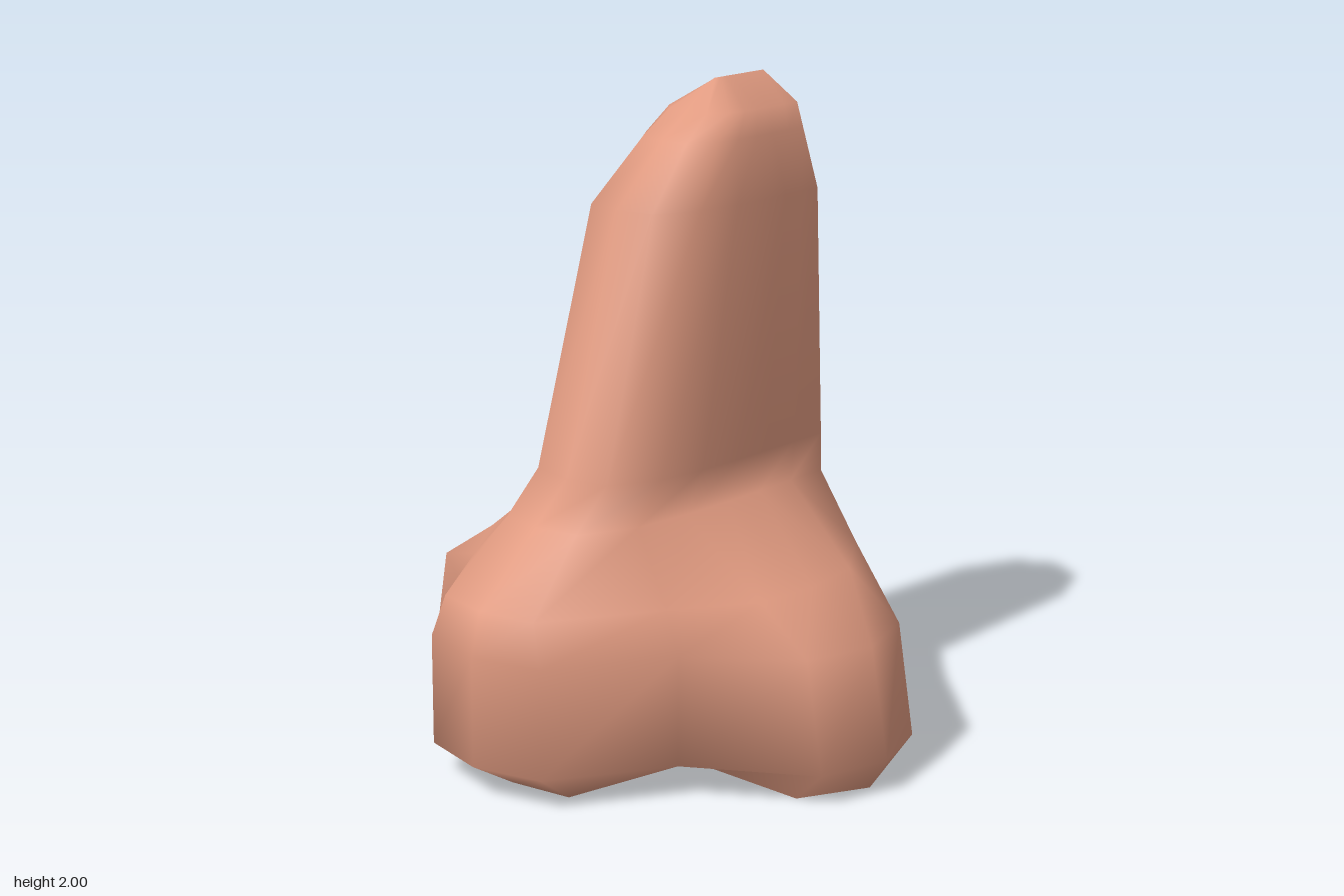
import * as THREE from 'three';

// Half outlines as [x, z], from the front centre round the nostril wing to the back wall
const foot = [[0, .48], [.2, .45], [.22, 0], [.7, .01], [.81, -.2], [.66, -.4], [.37, -.61], [.19, -.65]];
const wing = [[0, .645], [.22, .59], [.44, .24], [.8, .02], [.87, -.2], [.8, -.42], [.51, -.645], [.22, -.65]];
const shoulder = [[0, .61], [.18, .57], [.39, .24], [.55, 0], [.58, -.2], [.55, -.42], [.4, -.645], [.255, -.65]];

// Upper wing: the wing outline drawn in at the sides
const upperWing = wing.map(([x, z], i) => [i === 7 ? .25 : i > 2 ? x * .925 : x, z]);

// Bridge: rounds from its front to full width, then runs straight to the back wall
const roundX = [0, .55, .88, .97, 1];
const roundZ = [0, .05, .35, .68, 1];
function bridge(front, width, full) {
  const half = roundX.map((x, i) => [x * width, THREE.MathUtils.lerp(front, full, roundZ[i])]);
  for (let i = 1; i <= 3; i++) half.push([width, THREE.MathUtils.lerp(full, -.65, i / 3)]);
  return half;
}

const levels = [
  { y: 0, half: foot },
  { y: .1, half: wing },
  { y: .44, half: upperWing },
  { y: .57, half: shoulder },
  { y: .77, half: bridge(.375, .255, -.2) },
  { y: .89, half: bridge(.24, .252, -.25) },
  { y: 1.66, half: bridge(.02, .22, -.42) },
  { y: 1.84, half: bridge(-.18, .16, -.43) },
  { y: 1.915, half: bridge(-.29, .135, -.46) },
  { y: 2, half: bridge(-.42, 0, -.5) },
];

// Mirror a half outline into a full one, running from -x round the front to +x
const mirror = half => [...half.slice(1).reverse().map(([x, z]) => [-x, z]), ...half];

// Smooth skin lofted through the outlines
function loft() {
  const positions = [], index = [];
  const n = foot.length * 2 - 1;
  levels.forEach(({ y, half }, r) => {
    mirror(half).forEach(([x, z], i) => {
      positions.push(x, y, z);
      if (r === levels.length - 1 || i === n - 1) return;
      const a = r * n + i, b = a + 1, c = a + n, d = c + 1;
      index.push(a, b, d, a, d, c);
    });
  });
  const geometry = new THREE.BufferGeometry();
  geometry.setAttribute('position', new THREE.Float32BufferAttribute(positions, 3));
  geometry.setIndex(index);
  geometry.computeVertexNormals();
  return geometry;
}

const flatShape = points => new THREE.ShapeGeometry(new THREE.Shape(points.map(([x, y]) => new THREE.Vector2(x, y))));

export function createModel() {
  const group = new THREE.Group();
  group.name = 'nose';
  const material = new THREE.MeshStandardMaterial({ color: 0xe09a80 });
  const add = (name, geometry) => {
    const mesh = new THREE.Mesh(geometry, material);
    mesh.name = name;
    group.add(mesh);
  };

  // Bridge, tip and nostril wings
  add('noseSkin', loft());

  // Flat underside
  add('underside', flatShape(mirror(foot)).rotateX(Math.PI / 2));

  // Flat back that sits against the face
  const edge = levels.map(({ y, half }) => [half[7][0], y]);
  const left = edge.slice(0, -1).reverse().map(([x, y]) => [-x, y]);
  add('backPlate', flatShape([...edge, ...left]).rotateY(Math.PI).translate(0, 0, -.65));

  return group;
}
